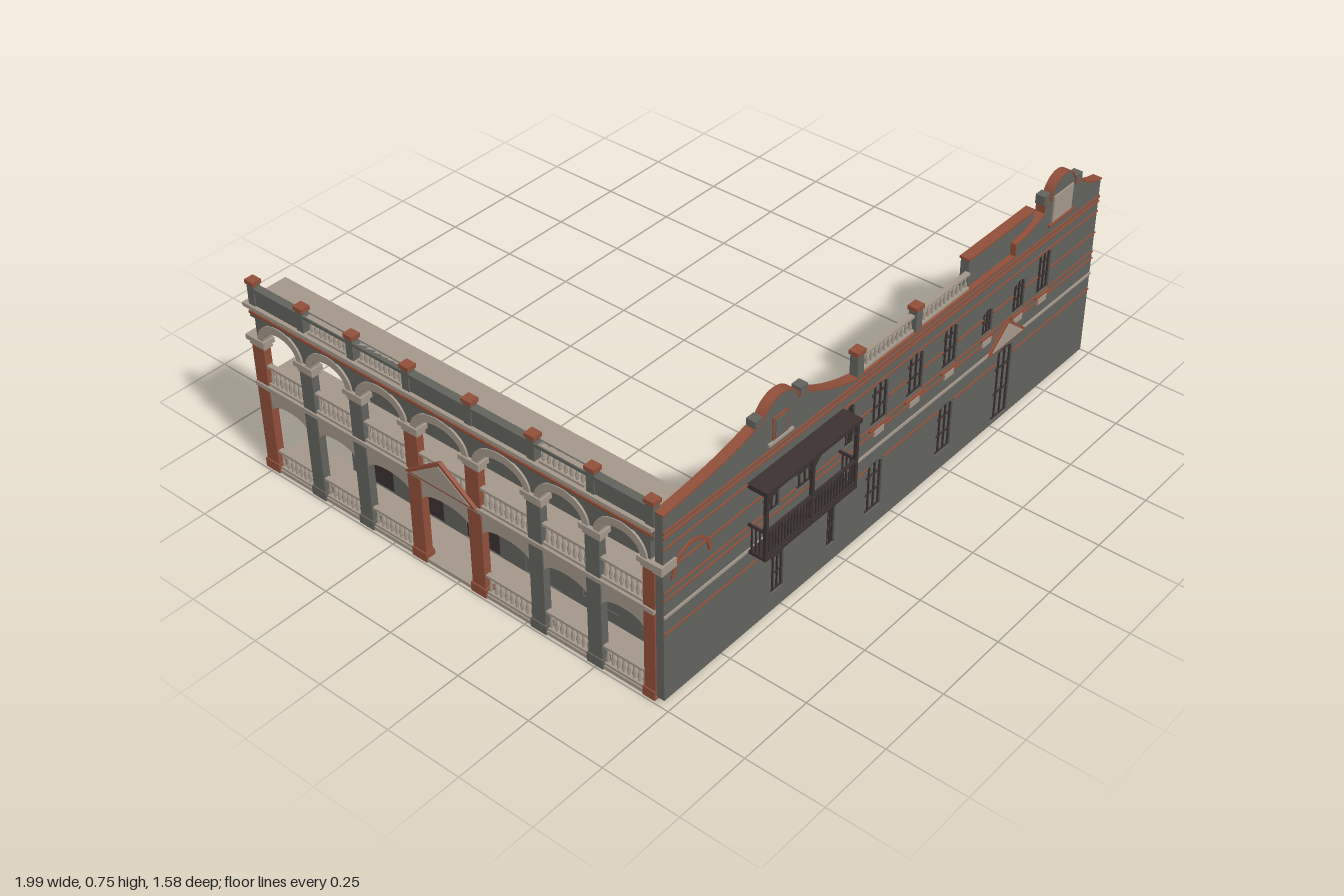
import * as THREE from 'three';
import { mergeGeometries } from 'three/addons/utils/BufferGeometryUtils.js';

const mat = (name, color) => {
  const m = new THREE.MeshStandardMaterial({ color });
  m.name = name;
  return m;
};

export function createModel() {
  const root = new THREE.Group();
  const grey = mat('grey render', 0x62635d), tan = mat('tan stone', 0xa3978a);
  const red = mat('terracotta', 0x8f4f3a), dark = mat('dark timber', 0x3b3231);

  const add = (name, geo, m, parent = root) => {
    const mesh = new THREE.Mesh(geo, m);
    mesh.name = name;
    parent.add(mesh);
    return mesh;
  };
  const boxGeo = (x0, x1, y0, y1, z0, z1) => new THREE.BoxGeometry(x1 - x0, y1 - y0, z1 - z0)
    .translate((x0 + x1) / 2, (y0 + y1) / 2, (z0 + z1) / 2);
  const box = (name, m, x0, x1, y0, y1, z0, z1, parent) => add(name, boxGeo(x0, x1, y0, y1, z0, z1), m, parent);
  const extrude = (shape, depth) => new THREE.ExtrudeGeometry(shape, { depth, bevelEnabled: false, curveSegments: 12 });
  // Extrusion standing in the side plane: shape x becomes -z, depth becomes +x
  const sideways = (shape, depth, x) => extrude(shape, depth).rotateY(Math.PI / 2).translate(x, 0, 0);

  // Opening with a shallow curved head
  const opening = (Cls, x, y0, y1, w, rise = 0.012) => {
    const p = new Cls();
    p.moveTo(x - w / 2, y0);
    p.lineTo(x + w / 2, y0);
    p.lineTo(x + w / 2, y1 - rise);
    p.quadraticCurveTo(x, y1 + rise, x - w / 2, y1 - rise);
    p.closePath();
    return p;
  };

  // Row of turned balusters between rails, along x from 0 to len
  const profile = [[0.003, 0], [0.003, 0.1], [0.006, 0.35], [0.0025, 0.6], [0.0045, 0.8], [0.003, 1]];
  const balustrade = (name, len, y0, y1) => {
    const g = new THREE.Group();
    g.name = name;
    const lathe = new THREE.LatheGeometry(profile.map(([r, t]) => new THREE.Vector2(r, y0 + t * (y1 - y0))), 6);
    const n = Math.max(3, Math.round(len / 0.019)), parts = [];
    for (let i = 0; i < n; i++) parts.push(lathe.clone().translate((i + 0.5) * len / n, 0, 0));
    add('balusters', mergeGeometries(parts), tan, g);
    box('handrail', tan, 0, len, y1 - 0.008, y1, -0.008, 0.008, g);
    box('bottomRail', tan, 0, len, y0, y0 + 0.008, -0.008, 0.008, g);
    root.add(g);
    return g;
  };

  // ---------- Front wall ----------
  const zb = 0.7, zf = 0.725;
  // x, bottom, top, width
  const upper = [[-0.56, 0.36, 0.485, 0.07], [-0.42, 0.36, 0.485, 0.07], [-0.225, 0.375, 0.51, 0.04],
    [-0.093, 0.375, 0.51, 0.075], [0.072, 0.375, 0.51, 0.075], [0.238, 0.375, 0.51, 0.07],
    [0.425, 0.38, 0.465, 0.05], [0.585, 0.375, 0.48, 0.06], [0.713, 0.375, 0.515, 0.065]];
  const lower = [[-0.527, 0.07, 0.235, 0.055], [-0.292, 0.07, 0.245, 0.035], [-0.1, 0.07, 0.24, 0.075],
    [0.238, 0.07, 0.24, 0.075], [0.533, 0.02, 0.275, 0.085]];
  const windows = [...upper, ...lower];

  const wall = new THREE.Shape();
  wall.moveTo(-0.985, 0.01);
  wall.lineTo(0.99, 0.01);
  wall.lineTo(0.99, 0.63);
  wall.quadraticCurveTo(0.92, 0.64, 0.87, 0.685);
  wall.lineTo(0.84, 0.685);
  wall.absarc(0.775, 0.685, 0.065, 0, Math.PI, false);
  wall.lineTo(0.68, 0.7);
  wall.lineTo(0.68, 0.66);
  wall.quadraticCurveTo(0.62, 0.63, 0.54, 0.625);
  wall.lineTo(0.54, 0.585);
  wall.lineTo(-0.2, 0.585);
  wall.quadraticCurveTo(-0.32, 0.61, -0.42, 0.675);
  wall.lineTo(-0.454, 0.675);
  wall.absarc(-0.53, 0.65, 0.08, 0.318, Math.PI - 0.318, false);
  wall.lineTo(-0.64, 0.675);
  wall.quadraticCurveTo(-0.75, 0.64, -0.985, 0.625);
  wall.closePath();
  const crest = wall.getPoints(10).filter(p => p.y > 0.58);
  for (const [x, y0, y1, w] of windows) wall.holes.push(opening(THREE.Path, x, y0, y1, w));
  add('frontWall', extrude(wall, zf - zb).translate(0, 0, zb), grey);

  // Coping following the parapet outline
  const coping = [];
  for (let i = 1; i < crest.length; i++) {
    const a = crest[i - 1], b = crest[i], d = a.distanceTo(b);
    if (d < 0.001) continue;
    coping.push(new THREE.BoxGeometry(d + 0.002, 0.005, zf - zb + 0.006)
      .rotateZ(Math.atan2(b.y - a.y, b.x - a.x)).translate((a.x + b.x) / 2, (a.y + b.y) / 2, (zb + zf) / 2));
  }
  add('parapetCoping', mergeGeometries(coping), red);

  // Window panes, frames and glazing bars
  for (const [x, y0, y1, w] of windows) {
    add('windowPane', extrude(opening(THREE.Shape, x, y0, y1, w), 0.006).translate(0, 0, 0.709), grey);
    const t = 0.004, bars = [];
    for (const bx of [x - w / 2 + t / 2, x - w / 6, x + w / 6, x + w / 2 - t / 2])
      bars.push(boxGeo(bx - t / 2, bx + t / 2, y0, y1 - 0.008, 0.704, 0.72));
    for (const k of [0, 0.35, 0.7, 0.94]) {
      const by = y0 + k * (y1 - y0);
      bars.push(boxGeo(x - w / 2, x + w / 2, by, by + t, 0.704, 0.72));
    }
    add('windowFrame', mergeGeometries(bars), dark);
  }
  for (const [x, y0, , w] of upper.slice(3)) {
    box('windowSill', red, x - w / 2 - 0.006, x + w / 2 + 0.006, y0 - 0.012, y0 - 0.005, zf, 0.732);
    box('sillPanel', tan, x - 0.022, x + 0.022, y0 - 0.038, y0 - 0.018, zf, 0.73);
  }

  // String courses, broken around the openings
  const course = (y, h, m) => {
    let x = -0.985;
    const cuts = windows.filter(w => w[1] < y + h && w[2] > y).sort((a, b) => a[0] - b[0]);
    for (const [wx, , , w] of [...cuts, [0.99, 0, 0, 0]]) {
      if (wx - w / 2 > x) box('stringCourse', m, x, wx - w / 2, y, y + h, zf, zf + 0.004);
      x = wx + w / 2;
    }
  };
  for (const y of [0.235, 0.348, 0.372, 0.44, 0.515]) course(y, 0.004, red);
  course(0.29, 0.009, tan);
  course(0.55, 0.006, red);
  course(0.565, 0.008, red);
  box('wallEndStrip', red, 0.99, 0.993, 0.03, 0.56, 0.701, 0.711);

  // Gable ornaments
  box('gableFrame', red, -0.562, -0.5, 0.598, 0.668, zf, zf + 0.004);
  box('gablePanel', grey, -0.555, -0.507, 0.603, 0.661, zf, zf + 0.007);
  box('gableSill', tan, -0.58, -0.48, 0.588, 0.596, zf, zf + 0.007);
  box('gablePanel', tan, 0.725, 0.825, 0.61, 0.695, zf, zf + 0.005);
  box('gableSill', red, 0.71, 0.84, 0.598, 0.606, zf, zf + 0.007);
  for (const [x, y] of [[-0.62, 0.67], [-0.437, 0.67], [0.685, 0.69], [0.857, 0.68]])
    box('gablePost', grey, x - 0.015, x + 0.015, y, y + 0.03, 0.698, 0.728);
  box('parapetBlock', grey, 0.325, 0.65, 0.58, 0.675, 0.683, 0.71);
  box('parapetBlockCap', red, 0.322, 0.653, 0.675, 0.682, 0.68, 0.713);

  // Front parapet balustrade
  for (const [a, b] of [[-0.175, 0.06], [0.085, 0.32]])
    balustrade('frontParapetBalustrade', b - a, 0.587, 0.642).position.set(a, 0, 0.712);
  for (const x of [-0.19, 0.072]) {
    box('parapetPost', grey, x - 0.014, x + 0.014, 0.585, 0.655, 0.7, 0.726);
    box('parapetPostCap', red, x - 0.018, x + 0.018, 0.655, 0.668, 0.697, 0.729);
  }

  // Door pediment
  const tri = (c, w, y0, y1) => new THREE.Shape([new THREE.Vector2(c - w, y0), new THREE.Vector2(c + w, y0), new THREE.Vector2(c, y1)]);
  add('doorPediment', extrude(tri(0.533, 0.1, 0.29, 0.375), 0.008).translate(0, 0, zf), red);
  add('doorPedimentPanel', extrude(tri(0.533, 0.078, 0.298, 0.363), 0.003).translate(0, 0, zf + 0.008), tan);

  // Blind arch on the front of the wing
  const ring = new THREE.Shape();
  ring.absarc(-0.88, 0.405, 0.077, 0, Math.PI, false);
  ring.absarc(-0.88, 0.405, 0.066, Math.PI, 0, true);
  add('blindArch', extrude(ring, 0.005).translate(0, 0, zf), red);
  box('cornerImpost', tan, -0.997, -0.94, 0.44, 0.468, 0.7, 0.731);

  // ---------- Timber balcony ----------
  const bx0 = -0.655, bx1 = -0.265, bz = 0.785;
  box('balconyFloor', dark, bx0, bx1, 0.287, 0.297, zf, bz);
  box('balconyRoof', dark, bx0 - 0.005, bx1 + 0.005, 0.508, 0.52, zf, 0.79);
  for (const x of [bx0 + 0.005, (bx0 + bx1) / 2, bx1 - 0.005]) {
    box('balconyPost', dark, x - 0.005, x + 0.005, 0.29, 0.51, bz - 0.01, bz);
    for (const s of [-1, 1]) {
      if (x + s * 0.03 < bx0 || x + s * 0.03 > bx1) continue;
      const brace = add('balconyBrace', new THREE.BoxGeometry(0.05, 0.006, 0.006), dark);
      brace.position.set(x + s * 0.02, 0.49, bz - 0.005);
      brace.rotation.z = s * 0.8;
    }
  }
  const rail = [boxGeo(bx0, bx1, 0.378, 0.386, bz - 0.008, bz), boxGeo(bx0, bx1, 0.305, 0.31, bz - 0.008, bz)];
  for (let i = 0; i < 30; i++) {
    const x = bx0 + (i + 0.5) * (bx1 - bx0) / 30;
    rail.push(boxGeo(x - 0.002, x + 0.002, 0.295, 0.38, bz - 0.006, bz - 0.002));
  }
  for (const x of [bx0, bx1 - 0.006]) {
    rail.push(boxGeo(x, x + 0.006, 0.378, 0.386, zf, bz), boxGeo(x, x + 0.006, 0.5, 0.508, zf, bz));
    for (let z = zf + 0.01; z < bz - 0.01; z += 0.013) rail.push(boxGeo(x + 0.001, x + 0.005, 0.295, 0.38, z, z + 0.004));
  }
  add('balconyRailing', mergeGeometries(rail), dark);

  // ---------- Side wing ----------
  const ox0 = -0.99, ox1 = -0.965, ix = -0.84, zEnd = -0.775;
  box('groundSlab', tan, -0.99, ix, 0, 0.012, zEnd, zb);
  box('upperFloorSlab', tan, -0.995, ix, 0.296, 0.31, zEnd, zb);
  box('roofSlab', tan, -0.998, ix, 0.566, 0.578, zEnd - 0.008, zb);

  // Inner wall with recessed doors
  const inner = new THREE.Shape([[-zb, 0.012], [0.56, 0.012], [0.56, 0.38], [-zb, 0.38]].map(p => new THREE.Vector2(...p)));
  const doors = [[0.6, 0.05, grey], [0.395, 0.05, grey], [0.185, 0.014, grey], [-0.04, 0.014, dark], [-0.255, 0.014, dark], [-0.455, 0.014, dark]];
  for (const [z, y0, m] of doors) {
    inner.holes.push(opening(THREE.Path, -z, y0, 0.243, 0.128, 0.014));
    add('wingDoor', sideways(opening(THREE.Shape, -z, y0, 0.243, 0.128, 0.014), 0.008, ix - 0.013), m);
  }
  add('wingInnerWall', sideways(inner, 0.014, ix - 0.016), grey);

  // Piers, imposts, beams and parapet posts
  const piers = [0.687, 0.495, 0.295, 0.075, -0.15, -0.36, -0.555, -0.75];
  const redPiers = [0, 3, 4, 7];
  piers.forEach((z, i) => {
    const m = redPiers.includes(i) ? red : grey;
    const zHi = Math.min(z + 0.036, 0.726);
    box('pier', m, ox0, ox1, 0, 0.44, z - 0.024, Math.min(z + 0.024, 0.7));
    box('pierBase', m, ox0 - 0.004, ox1 + 0.004, 0, 0.03, z - 0.028, Math.min(z + 0.028, 0.7));
    box('impostLower', tan, ox0 - 0.002, ox1 + 0.004, 0.437, 0.455, z - 0.03, Math.min(z + 0.03, 0.726));
    box('impostUpper', tan, ox0 - 0.008, ox1 + 0.008, 0.452, 0.468, z - 0.038, zHi);
    box('ceilingBeam', grey, ox1, ix - 0.004, 0.535, 0.566, z - 0.012, Math.min(z + 0.012, 0.7));
    box('wingParapetPost', grey, ox0, ox1, 0.578, 0.645, z - 0.013, z + 0.013);
    box('wingParapetCap', red, ox0 - 0.003, ox1 + 0.003, 0.645, 0.658, z - 0.017, z + 0.017);
  });
  box('wingFrieze', grey, ox0, ox1, 0.535, 0.566, -0.765, zb);
  box('wingCorniceBand', red, ox0 - 0.004, ox0, 0.548, 0.556, -0.765, zb);

  // Bays between the piers
  const openParapet = [1, 4, 5];
  for (let i = 0; i < 7; i++) {
    const zc = (piers[i] + piers[i + 1]) / 2, u = -zc, half = (piers[i] - piers[i + 1]) / 2;
    const r = half - 0.026, spring = 0.466, ry = 0.053;
    // Upper spandrel with elliptical arch and projecting ring
    const sp = new THREE.Shape();
    sp.moveTo(u - half, spring);
    sp.lineTo(u - r, spring);
    sp.absellipse(u, spring, r, ry, Math.PI, 0, true);
    sp.lineTo(u + half, spring);
    sp.lineTo(u + half, 0.56);
    sp.lineTo(u - half, 0.56);
    add('upperSpandrel', sideways(sp, 0.019, ox0 + 0.003), grey);
    const arch = new THREE.Shape();
    arch.absellipse(u, spring, r + 0.018, ry + 0.022, 0, Math.PI, false);
    arch.absellipse(u, spring, r - 0.003, ry - 0.003, Math.PI, 0, true);
    add('upperArch', sideways(arch, 0.031, ox0 - 0.003), tan);
    // Ground floor lintel with a curved underside
    const lin = new THREE.Shape();
    lin.moveTo(u - half, 0.296);
    lin.lineTo(u - half, 0.225);
    lin.lineTo(u - r, 0.225);
    lin.bezierCurveTo(u - r * 0.8, 0.26, u + r * 0.8, 0.26, u + r, 0.225);
    lin.lineTo(u + half, 0.225);
    lin.lineTo(u + half, 0.296);
    add('lowerArch', sideways(lin, 0.016, ox0 + 0.004), tan);

    const len = 2 * half - 0.048;
    const place = (name, y0, y1) => {
      const b = balustrade(name, len, y0, y1);
      b.rotation.y = Math.PI / 2;
      b.position.set(-0.978, 0, zc + len / 2);
    };
    if (i !== 3) place('groundBalustrade', 0.012, 0.078);
    place('upperBalustrade', 0.31, 0.38);
    if (openParapet.includes(i)) place('wingParapetBalustrade', 0.578, 0.636);
    else box('wingParapetPanel', grey, ox0 + 0.004, ox1 - 0.004, 0.578, 0.628, zc - half, zc + half);
    box('wingParapetRail', grey, ox0, ox1, 0.626, 0.636, zc - half, zc + half);
  }

  // Entrance pediment on the wing
  add('wingPediment', sideways(tri(0.038, 0.135, 0.305, 0.4), 0.012, -1), red);
  add('wingPedimentPanel', sideways(tri(0.038, 0.11, 0.312, 0.388), 0.015, -1.002), tan);

  return root;
}
